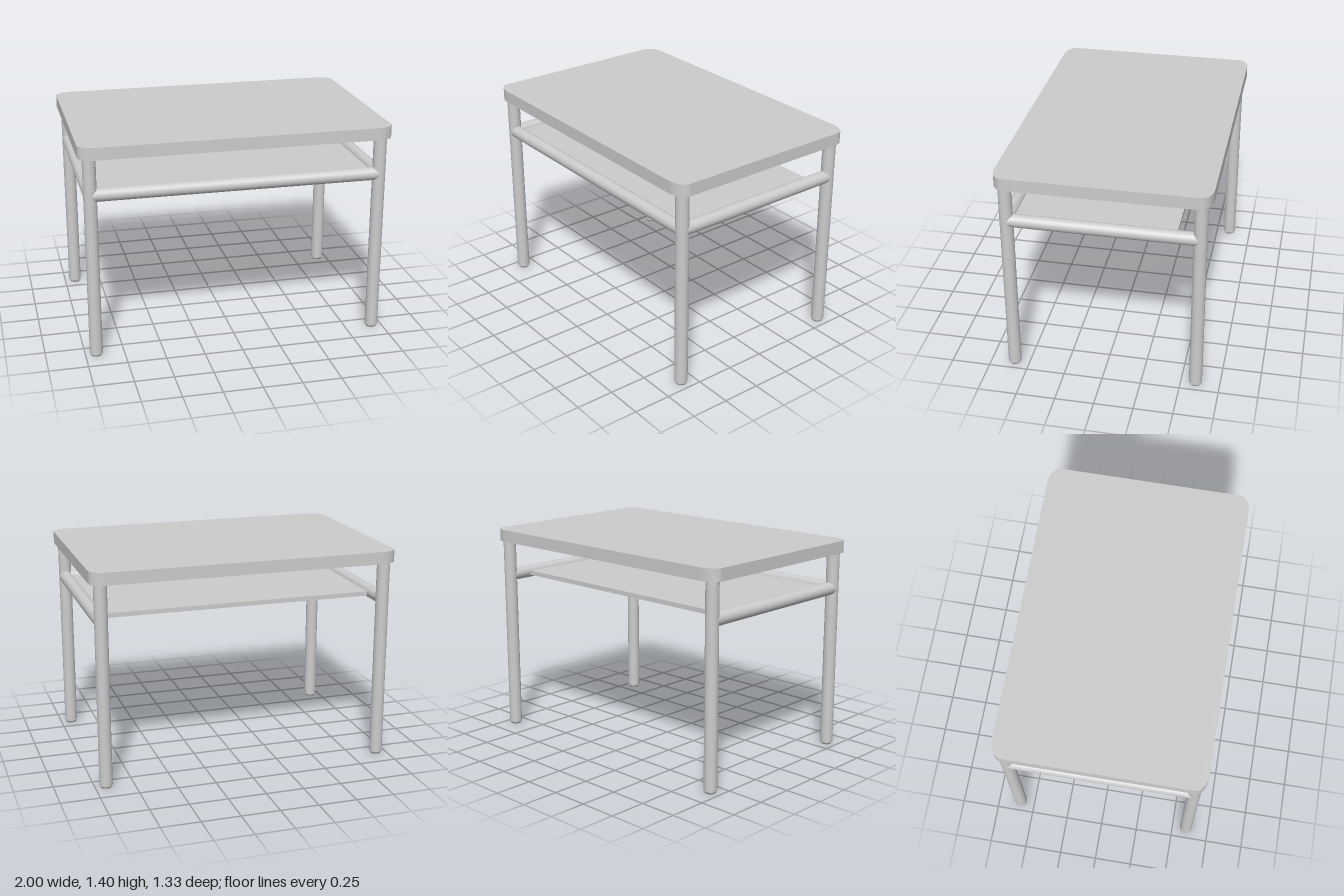
import * as THREE from 'three';

const LEG_X = 0.93, LEG_Z = 0.595, R = 0.042, RAIL_Y = 1.083;
const TOP_Y = 1.325, TOP_H = 0.08, FOOT = 0.014;

// Rectangle with elliptical corners (rx along x, ry along y)
function roundedSlab(hw, hh, rx, ry) {
  const s = new THREE.Shape();
  s.moveTo(hw, -hh + ry);
  s.lineTo(hw, hh - ry);
  const corners = [[1, 1, 0], [-1, 1, 0.5], [-1, -1, 1], [1, -1, 1.5]];
  for (const [sx, sy, a] of corners) {
    s.absellipse(sx * (hw - rx), sy * (hh - ry), rx, ry, a * Math.PI, (a + 0.5) * Math.PI, false, 0);
  }
  return s;
}

export function createModel() {
  const table = new THREE.Group();
  table.name = 'sideTable';
  const grey = new THREE.MeshStandardMaterial({ color: 0xcccccc });
  grey.name = 'light grey';

  const add = (name, geometry, x, y, z, parent = table) => {
    const mesh = new THREE.Mesh(geometry, grey);
    mesh.name = name;
    mesh.position.set(x, y, z);
    parent.add(mesh);
    return mesh;
  };

  // Table top
  const topGeo = new THREE.ExtrudeGeometry(roundedSlab(1, 0.665, 0.11, 0.075), {
    depth: TOP_H, bevelEnabled: false, curveSegments: 8,
  });
  topGeo.rotateX(-Math.PI / 2);
  add('tableTop', topGeo, 0, TOP_Y, 0);

  // Four round legs with softened feet
  const legLength = TOP_Y - FOOT;
  const legGeo = new THREE.CylinderGeometry(R, R, legLength, 32, 1, true);
  const footGeo = new THREE.CylinderGeometry(R, R - 0.009, FOOT, 32);
  for (const [zName, sz] of [['front', 1], ['back', -1]]) {
    for (const [xName, sx] of [['Left', 1], ['Right', -1]]) {
      const leg = new THREE.Group();
      leg.name = `${zName}${xName}Leg`;
      leg.position.set(sx * LEG_X, 0, sz * LEG_Z);
      add('legPost', legGeo, 0, FOOT + legLength / 2, 0, leg);
      add('foot', footGeo, 0, FOOT / 2, 0, leg);
      table.add(leg);
    }
  }

  // Rails at the front and both sides, the back stays open
  const inset = 0.012;
  const frontRailGeo = new THREE.CylinderGeometry(R, R, 2 * (LEG_X - inset), 32);
  frontRailGeo.rotateZ(Math.PI / 2);
  add('frontRail', frontRailGeo, 0, RAIL_Y, LEG_Z);
  const sideRailGeo = new THREE.CylinderGeometry(R, R, 2 * (LEG_Z - inset), 32);
  sideRailGeo.rotateX(Math.PI / 2);
  add('leftRail', sideRailGeo, LEG_X, RAIL_Y, 0);
  add('rightRail', sideRailGeo, -LEG_X, RAIL_Y, 0);

  // Shelf held between the rails, short of the back legs
  const shelfBack = -0.45;
  add('shelf', new THREE.BoxGeometry(2 * LEG_X, 0.03, LEG_Z - shelfBack),
    0, 1.078, (LEG_Z + shelfBack) / 2);

  return table;
}
